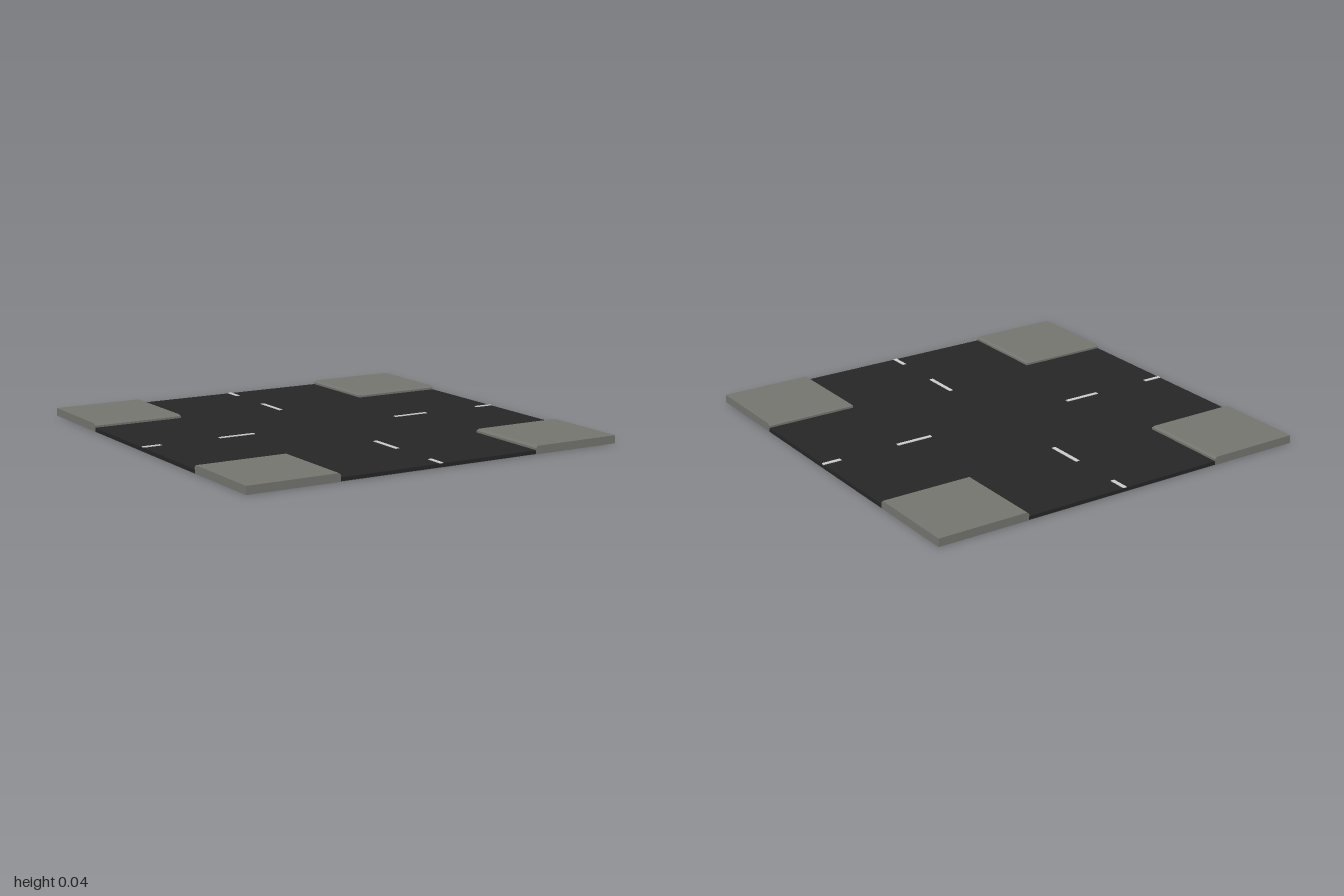
import * as THREE from 'three';

const INNER = 0.53;    // half width of the roads
const ROAD_TOP = 0.02;
const KERB_TOP = 0.04;
const BEVEL = 0.01;

const asphalt = new THREE.MeshStandardMaterial({ color: 0x262626 });
const concrete = new THREE.MeshStandardMaterial({ color: 0x757570, flatShading: true });
const paint = new THREE.MeshStandardMaterial({ color: 0xcccccc });

// Box given by its x, y and z ranges
function slab(name, material, [x0, x1], [y0, y1], [z0, z1]) {
  const mesh = new THREE.Mesh(new THREE.BoxGeometry(x1 - x0, y1 - y0, z1 - z0), material);
  mesh.position.set((x0 + x1) / 2, (y0 + y1) / 2, (z0 + z1) / 2);
  mesh.name = name;
  return mesh;
}

// Corner pavement whose two road-facing top edges are bevelled
function pavement(sx, sz) {
  const size = 1 - INNER;
  const mid = (1 + INNER) / 2;
  const geo = new THREE.BoxGeometry(size, KERB_TOP, size, 1, 2, 1);
  geo.translate(sx * mid, KERB_TOP / 2, sz * mid);
  const p = geo.attributes.position;
  for (let i = 0; i < p.count; i++) {
    const y = p.getY(i);
    if (y > KERB_TOP * 0.75) {
      if (Math.abs(p.getX(i)) < mid) p.setX(i, sx * (INNER + BEVEL));
      if (Math.abs(p.getZ(i)) < mid) p.setZ(i, sz * (INNER + BEVEL));
    } else if (y > KERB_TOP * 0.25) {
      p.setY(i, KERB_TOP - BEVEL);
    }
  }
  const flat = geo.toNonIndexed();
  flat.computeVertexNormals();
  const mesh = new THREE.Mesh(flat, concrete);
  mesh.name = 'pavement';
  return mesh;
}

export function createModel() {
  const group = new THREE.Group();
  group.name = 'crossroads';

  // Main road along x, with a side road branching off to front and back
  group.add(slab('mainRoad', asphalt, [-1, 1], [0, ROAD_TOP], [-INNER, INNER]));
  for (const s of [-1, 1]) {
    const zRange = s > 0 ? [INNER, 1] : [-1, -INNER];
    group.add(slab('sideRoad', asphalt, [-INNER, INNER], [0.002, ROAD_TOP], zRange));
    group.add(slab('sideRoadBase', concrete, [-INNER, INNER], [0, 0.002], zRange));
    for (const t of [-1, 1]) group.add(pavement(t, s));
  }

  // Painted centre-line dashes on all four arms
  const across = [-0.01, 0.01];
  const height = [ROAD_TOP - 0.002, ROAD_TOP + 0.003];
  const range = (s, a, b) => (s > 0 ? [a, b] : [-b, -a]);
  for (const s of [-1, 1]) {
    for (const [a, b] of [[0.405, 0.595], [0.905, 1]]) {
      group.add(slab('laneDash', paint, range(s, a, b), height, across));
    }
    for (const [a, b] of [[0.447, 0.64], [0.905, 1]]) {
      group.add(slab('laneDash', paint, across, height, range(s, a, b)));
    }
  }
  return group;
}
